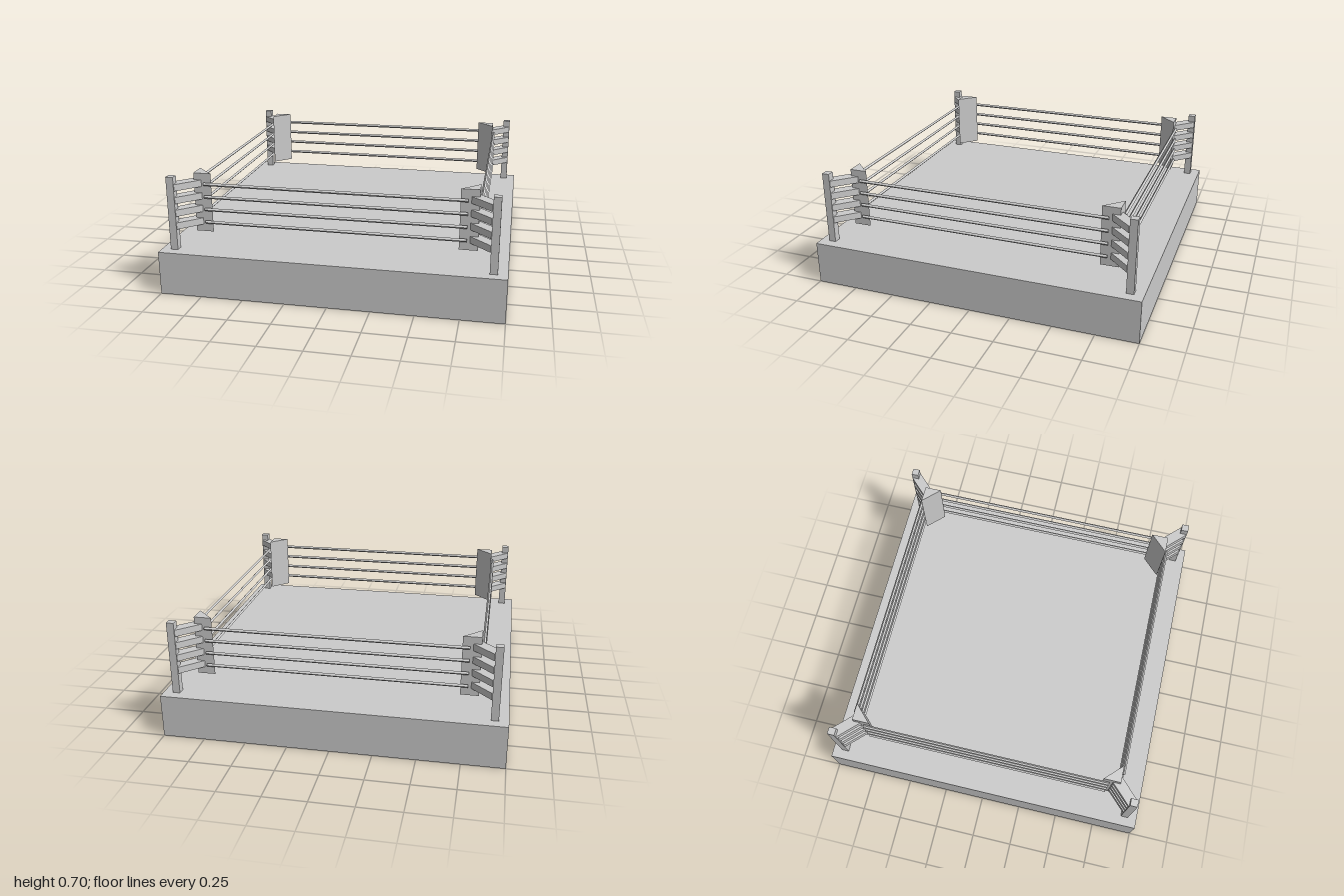
import * as THREE from 'three';

const material = new THREE.MeshStandardMaterial({ color: 0xcccccc, flatShading: true });

function addMesh(parent, name, geometry, x = 0, y = 0, z = 0) {
  const mesh = new THREE.Mesh(geometry, material);
  mesh.name = name;
  mesh.position.set(x, y, z);
  parent.add(mesh);
  return mesh;
}

export function createModel() {
  const ring = new THREE.Group();
  ring.name = 'boxingRing';
  const ropeHeights = [0.405, 0.483, 0.56, 0.637];

  // Raised platform
  addMesh(ring, 'platform', new THREE.BoxGeometry(2, 0.26, 2), 0, 0.13, 0);

  // Triangular corner pad, drawn in plan and raised upwards
  const plan = new THREE.Shape([
    new THREE.Vector2(0.825, -0.825),
    new THREE.Vector2(0.825, -0.72),
    new THREE.Vector2(0.72, -0.825),
  ]);
  const padGeometry = new THREE.ExtrudeGeometry(plan, { depth: 0.355, bevelEnabled: false });
  padGeometry.rotateX(-Math.PI / 2);

  const postGeometry = new THREE.BoxGeometry(0.044, 0.44, 0.044);
  const armInner = 0.795, armOuter = 0.92;
  const armGeometry = new THREE.BoxGeometry(0.064, 0.04, (armOuter - armInner) * Math.SQRT2);
  const ropeGeometry = new THREE.CylinderGeometry(0.01, 0.01, 1.525, 4).rotateZ(Math.PI / 2);

  // One corner and one run of ropes, repeated on four sides
  for (let i = 0; i < 4; i++) {
    const side = new THREE.Group();
    side.name = 'cornerAndRopes' + (i + 1);
    side.rotation.y = i * Math.PI / 2;
    ring.add(side);

    addMesh(side, 'cornerPost', postGeometry, 0.922, 0.482, 0.922);
    addMesh(side, 'cornerPad', padGeometry, 0, 0.345, 0);
    for (const y of ropeHeights) {
      const mid = (armInner + armOuter) / 2;
      addMesh(side, 'padArm', armGeometry, mid, y + 0.002, mid).rotation.y = Math.PI / 4;
      addMesh(side, 'rope', ropeGeometry, 0, y, 0.835);
    }
  }
  return ring;
}
